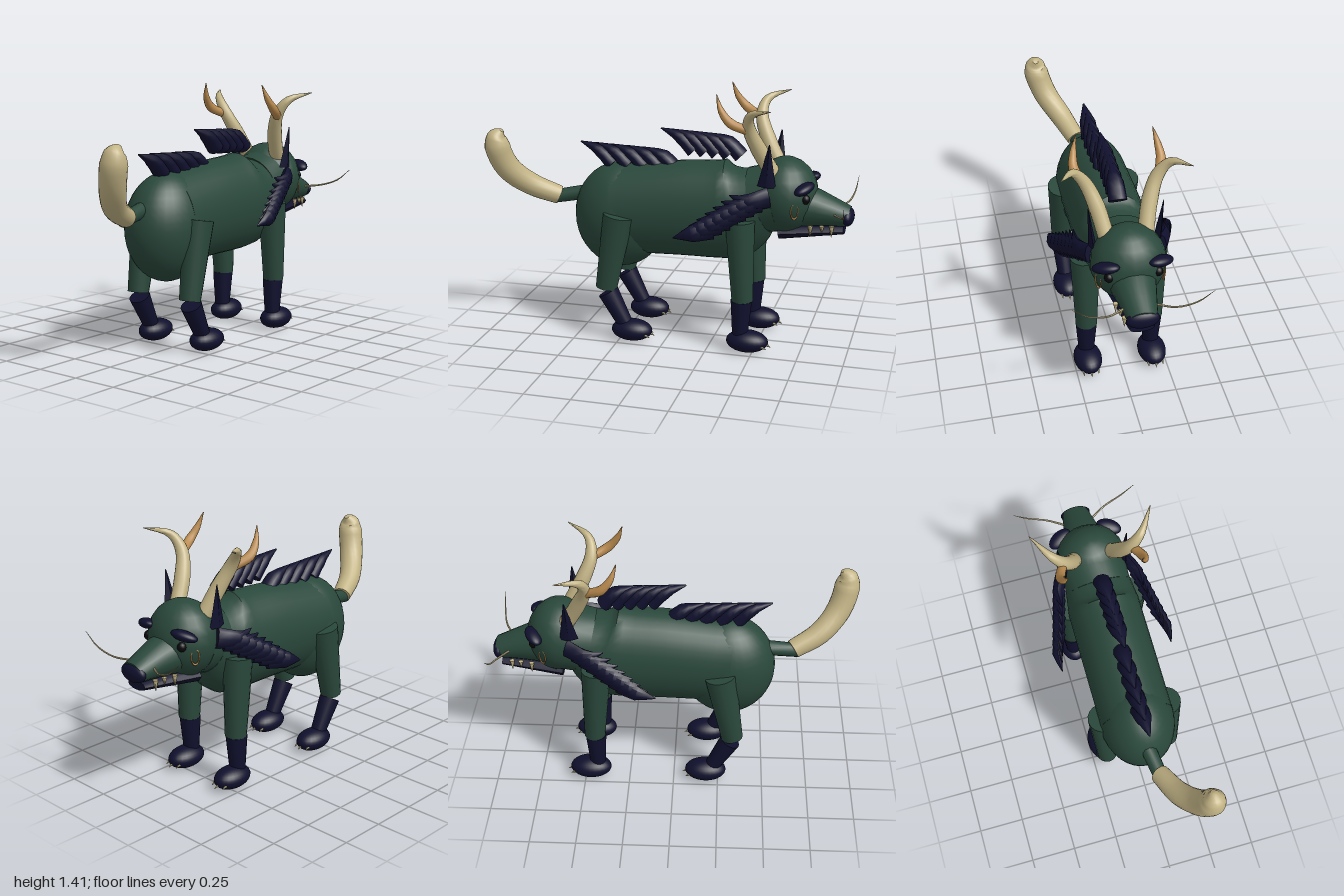
import * as THREE from 'three';
import { toCreasedNormals } from 'three/addons/utils/BufferGeometryUtils.js';

const material = (name, color) => new THREE.MeshStandardMaterial({ name, color });

export function createModel() {
  const model = new THREE.Group();
  model.name = 'hornedBeast';
  const green = material('forest green', 0x2a483c);
  const navy = material('midnight navy', 0x10102e);
  const cream = material('bone cream', 0xc2b385);
  const bronze = material('bronze', 0xb98a4e);
  const black = material('eye black', 0x08080c);

  function add(name, geometry, mat) {
    const mesh = new THREE.Mesh(geometry, mat);
    mesh.name = name;
    model.add(mesh);
    return mesh;
  }

  // Closed loft along a path of [x, y, z, radius along ref, other radius]
  function loft(name, mat, pts, { ref = [1, 0, 0], sides = 16, steps = 4 } = {}) {
    const curve = new THREE.CatmullRomCurve3(pts.map(p => new THREE.Vector3(p[0], p[1], p[2])));
    const refV = new THREE.Vector3(...ref);
    const rings = (pts.length - 1) * steps;
    const pos = [], index = [];
    for (let i = 0; i <= rings; i++) {
      const u = i / rings;
      const k = Math.min(Math.floor(i / steps), pts.length - 2);
      const f = i / steps - k;
      const a = pts[k], b = pts[k + 1];
      const r1 = a[3] + (b[3] - a[3]) * f;
      const a2 = a[4] ?? a[3], b2 = b[4] ?? b[3];
      const r2 = a2 + (b2 - a2) * f;
      const c = curve.getPoint(u), t = curve.getTangent(u);
      const s = refV.clone().addScaledVector(t, -t.dot(refV)).normalize();
      const n = t.clone().cross(s);
      for (let j = 0; j < sides; j++) {
        const w = (j / sides) * Math.PI * 2;
        const p = c.clone().addScaledVector(s, Math.cos(w) * r1).addScaledVector(n, Math.sin(w) * r2);
        pos.push(p.x, p.y, p.z);
      }
    }
    for (let i = 0; i < rings; i++) for (let j = 0; j < sides; j++) {
      const a = i * sides + j, b = i * sides + (j + 1) % sides;
      index.push(a, b, a + sides, b, b + sides, a + sides);
    }
    const last = rings * sides;
    for (let j = 1; j < sides - 1; j++) {
      index.push(0, j + 1, j, last, last + j, last + j + 1);
    }
    const geo = new THREE.BufferGeometry();
    geo.setAttribute('position', new THREE.Float32BufferAttribute(pos, 3));
    geo.setIndex(index);
    return add(name, toCreasedNormals(geo, 0.8), mat);
  }

  function ball(name, mat, [x, y, z], [rx, ry, rz], w = 24, h = 16) {
    const mesh = add(name, new THREE.SphereGeometry(1, w, h), mat);
    mesh.position.set(x, y, z);
    mesh.scale.set(rx, ry, rz);
    return mesh;
  }

  // Body, rump and neck
  loft('torso', green, [[0, 0.71, 0.3, 0.2, 0.25], [0, 0.735, -0.05, 0.2, 0.265],
    [0, 0.755, -0.36, 0.2, 0.275], [0, 0.81, -0.5, 0.18, 0.18]], { sides: 32 });
  ball('rump', green, [0, 0.675, 0.29], [0.205, 0.295, 0.26], 32, 20);
  loft('neck', green, [[0, 0.81, -0.46, 0.18], [0, 0.835, -0.58, 0.185]], { sides: 24, steps: 1 });

  // Head, muzzle and jaw
  ball('head', green, [0, 0.855, -0.63], [0.195, 0.205, 0.175], 20, 12);
  loft('muzzle', green, [[0, 0.8, -0.72, 0.125, 0.12], [0, 0.79, -0.8, 0.108, 0.1],
    [0, 0.755, -0.97, 0.075, 0.055]], { sides: 20, steps: 2 });
  ball('nose', navy, [0, 0.755, -0.965], [0.085, 0.05, 0.035]);
  loft('jaw', navy, [[0, 0.66, -0.61, 0.11, 0.05], [0, 0.685, -0.95, 0.065, 0.025]], { sides: 10, steps: 1 });

  // Tail stem and curved brush
  loft('tailStem', green, [[0, 0.79, 0.48, 0.042], [0.03, 0.755, 0.68, 0.038]], { sides: 12, steps: 1 });
  loft('tailBrush', cream, [[0.025, 0.765, 0.645, 0.052], [0.085, 0.835, 0.79, 0.062],
    [0.16, 0.94, 0.89, 0.068], [0.205, 1.07, 0.93, 0.07], [0.21, 1.125, 0.925, 0.055],
    [0.21, 1.16, 0.9, 0.015]], { sides: 20 });

  // Swept dorsal fins in two overlapping rows
  function finRow(tipZ, tipY, stepZ, stepY) {
    for (let i = 0; i < 5; i++) {
      const z = tipZ - stepZ * i, y = tipY + stepY * i;
      loft('dorsalFin', navy, [[0, y - 0.115, z - 0.185, 0.05, 0.042], [0, y - 0.045, z - 0.115, 0.045, 0.038],
        [0, y, z, 0.004, 0.003]], { sides: 10, steps: 3 });
    }
  }
  finRow(0.52, 1.075, 0.09, -0.003);
  finRow(0.06, 1.175, 0.065, -0.003);

  for (const s of [1, -1]) {
    // Legs, paws and claws
    const x = 0.18 * s;
    loft('hindThigh', green, [[x, 0.72, 0.25, 0.08, 0.085], [x, 0.3, 0.325, 0.056, 0.06]], { steps: 1 });
    loft('hindShin', navy, [[x, 0.275, 0.315, 0.058], [x, 0.09, 0.215, 0.042]], { steps: 1 });
    loft('foreUpperLeg', green, [[x, 0.74, -0.42, 0.08], [x, 0.295, -0.44, 0.058]], { steps: 1 });
    loft('foreShin', navy, [[x, 0.295, -0.435, 0.058], [x, 0.09, -0.43, 0.042]], { steps: 1 });
    for (const z of [0.18, -0.47]) {
      ball('paw', navy, [x, 0.065, z], [0.077, 0.06, 0.115]);
      for (const d of [-0.04, 0, 0.04]) {
        const zf = z - 0.1 + Math.abs(d) * 0.45;
        loft('claw', cream, [[x + d, 0.055, zf, 0.01], [x + d, 0.04, zf - 0.03, 0.001]], { sides: 6, steps: 1 });
      }
    }

    // Antler with a bronze tine
    loft('antler', cream, [[0.1 * s, 0.98, -0.58, 0.042], [0.135 * s, 1.12, -0.505, 0.042],
      [0.185 * s, 1.24, -0.46, 0.034], [0.245 * s, 1.32, -0.48, 0.022],
      [0.325 * s, 1.36, -0.595, 0.002]], { ref: [0, 0, 1] });
    loft('antlerTine', bronze, [[0.19 * s, 1.23, -0.45, 0.024], [0.222 * s, 1.27, -0.37, 0.026],
      [0.215 * s, 1.33, -0.32, 0.018], [0.195 * s, 1.41, -0.29, 0.002]], { sides: 12 });

    // Pointed ear
    loft('ear', navy, [[0.17 * s, 0.93, -0.555, 0.02, 0.05], [0.19 * s, 1.16, -0.57, 0.002, 0.003]],
      { sides: 4, steps: 1 });

    // Brow, eye, cheek ring
    const brow = ball('brow', navy, [0.14 * s, 0.925, -0.75], [0.072, 0.028, 0.042]);
    brow.rotation.set(0.25, s * -0.5, s * -0.1);
    ball('eye', black, [0.125 * s, 0.865, -0.755], [0.024, 0.026, 0.024], 14, 10);
    const ring = add('cheekRing', new THREE.TorusGeometry(0.026, 0.004, 6, 20), bronze);
    ring.position.set(0.168 * s, 0.81, -0.705);
    ring.scale.set(0.8, 1.6, 1);
    ring.rotation.y = s * (Math.PI - 1.0);

    // Fangs and whisker
    for (const [tx, z, len] of [[0.095, -0.78, 0.06], [0.085, -0.84, 0.035], [0.075, -0.89, 0.06]]) {
      loft('fang', cream, [[tx * s, 0.715, z, 0.014], [tx * s, 0.715 - len, z, 0.001]], { sides: 8, steps: 1 });
    }
    loft('whisker', cream, [[0.08 * s, 0.78, -0.9, 0.006], [0.17 * s, 0.79, -0.95, 0.005],
      [0.27 * s, 0.825, -0.972, 0.004], [0.35 * s, 0.89, -0.98, 0.001]], { ref: [0, 1, 0], sides: 6 });

    // Overlapping cheek mane blades
    for (let i = 0; i < 8; i++) {
      const f = i / 7;
      const bx = 0.185 + 0.085 * f, by = 0.88 - 0.17 * f, bz = -0.57 + 0.28 * f;
      loft('maneBlade', navy, [[bx * s, by, bz, 0.028, 0.055],
        [(bx + 0.045) * s, by - 0.02, bz + 0.1, 0.03, 0.045],
        [(bx + 0.045) * s, by - 0.06 * f + 0.01, bz + 0.2, 0.002, 0.003]], { sides: 8, steps: 2 });
    }
  }
  return model;
}
